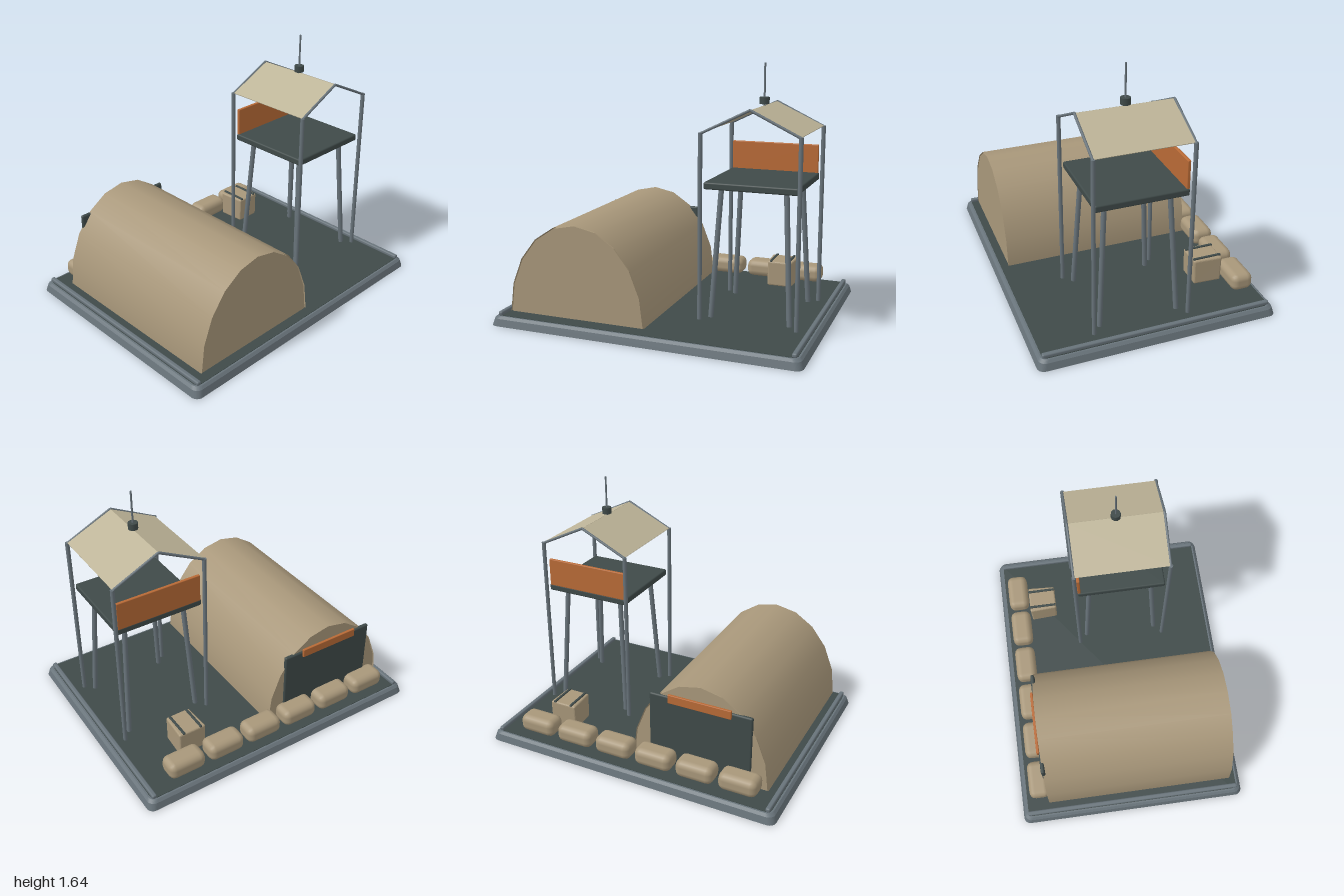
import * as THREE from 'three';
import { RoundedBoxGeometry } from 'three/addons/geometries/RoundedBoxGeometry.js';

function material(name, color, side = THREE.FrontSide) {
  const m = new THREE.MeshStandardMaterial({ color, side });
  m.name = name;
  return m;
}

export function createModel() {
  const root = new THREE.Group();
  root.name = 'fieldCamp';
  const steel = material('steelGrey', 0x68737a);
  const dark = material('darkGreenGrey', 0x3f4a49);
  const canvas = material('tanCanvas', 0xa8977a, THREE.DoubleSide);
  const cloth = material('paleRoofCloth', 0xbdb498, THREE.DoubleSide);
  const orange = material('orangePanel', 0xb86a36);

  const add = (name, geometry, mat, parent = root) => {
    const mesh = new THREE.Mesh(geometry, mat);
    mesh.name = name;
    parent.add(mesh);
    return mesh;
  };
  // Rounded box given by its min and max corners
  const block = (name, a, b, radius, mat, parent = root) => {
    const s = b.map((v, i) => v - a[i]);
    const mesh = add(name, new RoundedBoxGeometry(...s, 2, radius), mat, parent);
    mesh.position.set(...a.map((v, i) => (v + b[i]) / 2));
    return mesh;
  };
  // Round bar between two points
  const bar = (name, a, b, radius, mat, parent = root) => {
    const p = new THREE.Vector3(...a), q = new THREE.Vector3(...b);
    const d = q.clone().sub(p);
    const mesh = add(name, new THREE.CylinderGeometry(radius, radius, d.length(), 10), mat, parent);
    mesh.position.copy(p).add(q).multiplyScalar(0.5);
    mesh.quaternion.setFromUnitVectors(new THREE.Vector3(0, 1, 0), d.normalize());
    return mesh;
  };
  // Rounded slab lying flat, its upper edge drawn in by inset
  const slab = (hx, hz, r, y, h, inset) => {
    const s = new THREE.Shape();
    s.absarc(hx - r, hz - r, r, 0, Math.PI / 2);
    s.absarc(r - hx, hz - r, r, Math.PI / 2, Math.PI);
    s.absarc(r - hx, r - hz, r, Math.PI, Math.PI * 1.5);
    s.absarc(hx - r, r - hz, r, Math.PI * 1.5, Math.PI * 2);
    const g = new THREE.ExtrudeGeometry(s, { depth: h, bevelEnabled: false, curveSegments: 5 });
    g.rotateX(-Math.PI / 2);
    const p = g.attributes.position;
    for (let i = 0; i < p.count; i++) {
      if (p.getY(i) > h / 2) {
        p.setX(i, p.getX(i) * (1 - inset / hx));
        p.setZ(i, p.getZ(i) * (1 - inset / hz));
      }
    }
    g.computeVertexNormals();
    return g.translate(0, y, 0);
  };

  // Ground plate with deck and side rails
  add('baseFrameFoot', slab(1, 0.77, 0.045, 0, 0.045, 0.012), steel);
  add('baseFrameTop', slab(0.988, 0.758, 0.045, 0.045, 0.015, 0.015), steel);
  add('deck', slab(0.962, 0.732, 0.035, 0.06, 0.003, 0), dark);
  for (const side of [-1, 1]) {
    block('sideRail', [side * 0.945 - 0.015, 0.058, -0.735], [side * 0.945 + 0.015, 0.086, 0.735], 0.01, steel);
  }

  // Barrel-vaulted tent: smooth shell around a solid with flat ends
  const tent = new THREE.Group();
  tent.name = 'tent';
  tent.position.set(-0.435, 0.085, 0);
  root.add(tent);
  const shell = new THREE.CylinderGeometry(1, 1, 1.27, 10, 1, true, Math.PI / 2, Math.PI);
  shell.rotateX(Math.PI / 2).scale(0.455, 0.595, 1).translate(0, 0, 0.055);
  add('tentShell', shell, canvas, tent);
  const arch = new THREE.Shape();
  for (let i = 0; i <= 10; i++) {
    const t = (i * Math.PI) / 10;
    const x = 0.448 * Math.cos(t), y = 0.588 * Math.sin(t);
    if (i) arch.lineTo(x, y); else arch.moveTo(x, y);
  }
  const ends = new THREE.ExtrudeGeometry(arch, { depth: 1.264, bevelEnabled: false });
  add('tentEnds', ends.translate(0, 0, -0.577), canvas, tent);

  // Door at the back of the tent
  block('tentDoor', [-0.775, 0.085, -0.589], [-0.1, 0.56, -0.563], 0.011, dark);
  block('doorAwning', [-0.645, 0.525, -0.602], [-0.23, 0.582, -0.584], 0.004, orange);

  // Row of sandbags along the back edge
  for (let i = 0; i < 6; i++) {
    const x = -0.73 + i * 0.283;
    block('sandbag', [x - 0.125, 0.085, -0.705], [x + 0.125, 0.2, -0.562], 0.042, canvas);
  }

  // Supply crate with two straps
  const crate = new RoundedBoxGeometry(0.187, 0.172, 0.19, 2, 0.012);
  const cp = crate.attributes.position;
  for (let i = 0; i < cp.count; i++) {
    cp.setX(i, cp.getX(i) * (0.94 - 0.6 * cp.getZ(i)));
    cp.setZ(i, cp.getZ(i) * (0.98 + 0.25 * cp.getY(i)));
  }
  crate.computeVertexNormals();
  add('crate', crate, canvas).position.set(0.568, 0.183, -0.457);
  for (const side of [-1, 1]) {
    const x = 0.568 + side * 0.06;
    block('crateStrap', [x - 0.008, 0.264, -0.553], [x + 0.008, 0.277, -0.365], 0.003, dark);
  }

  // Watchtower, centred on its own axis
  const tower = new THREE.Group();
  tower.name = 'watchtower';
  tower.position.set(0.568, 0, 0.087);
  root.add(tower);
  block('platform', [-0.29, 0.892, -0.288], [0.29, 0.936, 0.288], 0.01, dark, tower);
  block('backPanel', [-0.283, 0.93, -0.289], [0.283, 1.115, -0.269], 0.005, orange, tower);
  for (const sx of [-1, 1]) {
    for (const sz of [-1, 1]) {
      bar('post', [sx * 0.304, 0.08, sz * 0.304], [sx * 0.304, 1.235, sz * 0.304], 0.0135, steel, tower);
      bar('leg', [sx * 0.248, 0.085, sz * 0.25], [sx * 0.202, 0.895, sz * 0.203], 0.0165, steel, tower);
      bar('roofRafter', [sx * 0.304, 1.23, sz * 0.304], [0, 1.378, sz * 0.304], 0.0085, steel, tower);
    }
    // Sloping roof sheet
    const sheet = add('roofSheet', new THREE.BoxGeometry(Math.hypot(0.304, 0.143), 0.005, 0.605), cloth, tower);
    sheet.position.set(sx * 0.152, 1.305, 0);
    sheet.rotation.z = -sx * Math.atan2(0.143, 0.304);
  }

  // Antenna on the ridge
  bar('antennaBase', [0, 1.388, 0], [0, 1.43, 0], 0.031, dark, tower);
  bar('antennaMast', [0, 1.37, 0], [0, 1.636, 0], 0.006, steel, tower);
  return root;
}
